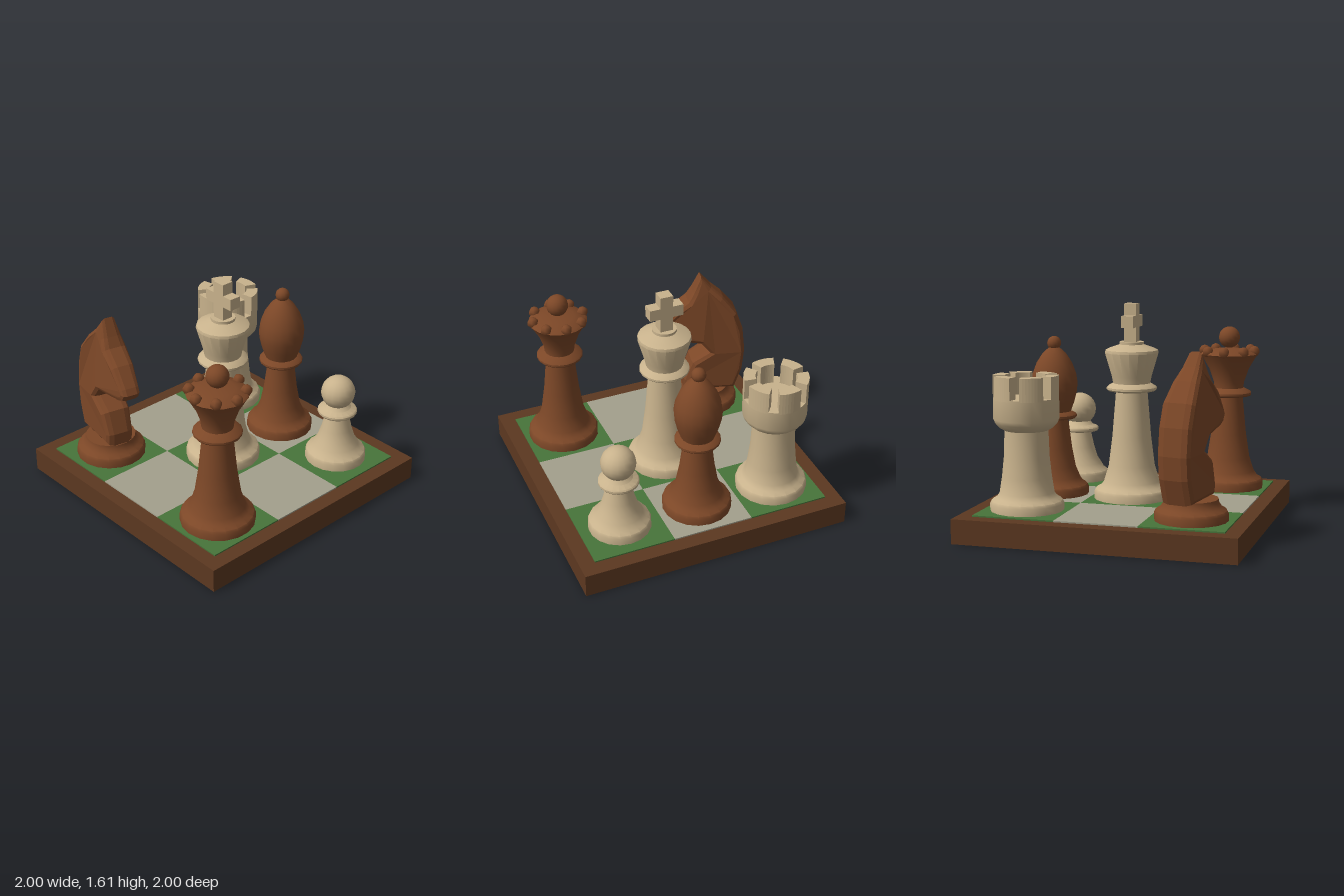
import * as THREE from 'three';
import { toCreasedNormals } from 'three/addons/utils/BufferGeometryUtils.js';

const material = (color, flatShading = false) => new THREE.MeshStandardMaterial({ color, flatShading });
const light = material(0xc8b28c);
const dark = material(0x7c4727);
const darkFlat = material(0x7c4727, true);
const frame = material(0x5c3820);
const green = material(0x47753a);
const pale = material(0xa3a08c);

const FLOOR = 0.185;
const CELL = 0.593;

function add(parent, name, geometry, mat, x = 0, y = 0, z = 0) {
  const mesh = new THREE.Mesh(geometry, mat);
  mesh.name = name;
  mesh.position.set(x, y, z);
  parent.add(mesh);
  return mesh;
}

// Turned part from [radius, height] pairs, listed bottom to top
function turned(points) {
  const profile = points.map(([r, y]) => new THREE.Vector2(r, y));
  return toCreasedNormals(new THREE.LatheGeometry(profile, 18), 0.6);
}

// Stepped foot shared by all pieces
const foot = (r) => [
  [0, FLOOR], [r, FLOOR], [r, 0.235], [r * 0.96, 0.255], [r * 0.83, 0.275], [r * 0.74, 0.31],
];

// Foot, concave stem and thin collar
const stem = (r, neck, collar, y) => [
  ...foot(r),
  [r * 0.61, 0.31 + (y - 0.31) * 0.18],
  [neck + (r * 0.61 - neck) * 0.5, 0.31 + (y - 0.31) * 0.5],
  [neck, y - 0.01], [collar * 0.95, y], [collar, y + 0.01],
  [collar, y + 0.025], [collar * 0.95, y + 0.035],
];

function piece(root, name, col, row) {
  const group = new THREE.Group();
  group.name = name;
  group.position.set(col * CELL, 0, row * CELL);
  root.add(group);
  return group;
}

function buildBoard(root) {
  add(root, 'boardFrame', new THREE.BoxGeometry(2, 0.175, 2), frame, 0, 0.0875, 0);
  for (let i = -1; i <= 1; i++) {
    for (let j = -1; j <= 1; j++) {
      add(root, 'square', new THREE.BoxGeometry(CELL, 0.02, CELL),
        (i + j) % 2 === 0 ? green : pale, i * CELL, 0.175, j * CELL);
    }
  }
}

function buildKing(root) {
  const g = piece(root, 'king', 0, 0);
  add(g, 'kingBody', turned([
    ...stem(0.275, 0.115, 0.182, 0.975), [0.135, 1.03], [0.145, 1.08], [0.195, 1.25],
    [0.19, 1.27], [0.16, 1.285], [0.088, 1.31], [0.088, 1.33], [0, 1.33],
  ]), light);
  add(g, 'crossUpright', new THREE.BoxGeometry(0.095, 0.285, 0.09), light, 0, 1.4625, 0);
  for (const s of [-1, 1]) {
    add(g, 'crossArm', new THREE.BoxGeometry(0.079, 0.085, 0.09), light, s * 0.0865, 1.4775, 0);
  }
}

function buildQueen(root) {
  const g = piece(root, 'queen', 1, 1);
  add(g, 'queenBody', turned([
    ...stem(0.265, 0.105, 0.17, 0.885), [0.11, 0.945], [0.115, 0.99], [0.15, 1.09],
    [0.205, 1.185], [0.215, 1.2], [0.2, 1.215], [0.12, 1.235], [0, 1.25],
  ]), dark);
  add(g, 'queenFinial', new THREE.SphereGeometry(0.08, 16, 12), dark, 0, 1.325, 0);
  for (let i = 0; i < 8; i++) {
    const a = (i / 8) * Math.PI * 2;
    add(g, 'crownBead', new THREE.SphereGeometry(0.042, 6, 5), dark,
      Math.cos(a) * 0.19, 1.222, Math.sin(a) * 0.19);
  }
}

function buildBishop(root) {
  const g = piece(root, 'bishop', 0, -1);
  add(g, 'bishopBody', turned([
    ...stem(0.25, 0.1, 0.163, 0.75), [0.12, 0.8], [0.145, 0.87], [0.165, 0.95], [0.17, 1.01],
    [0.16, 1.08], [0.13, 1.16], [0.085, 1.23], [0.035, 1.275], [0, 1.29],
  ]), dark);
  add(g, 'bishopFinial', new THREE.SphereGeometry(0.052, 12, 10), dark, 0, 1.303, 0);
}

function buildPawn(root) {
  const g = piece(root, 'pawn', 1, -1);
  add(g, 'pawnBody', turned([
    ...stem(0.225, 0.085, 0.145, 0.565), [0.1, 0.615], [0.075, 0.65], [0, 0.66],
  ]), light);
  add(g, 'pawnHead', new THREE.SphereGeometry(0.125, 16, 12), light, 0, 0.735, 0);
}

function buildRook(root) {
  const g = piece(root, 'rook', -1, -1);
  add(g, 'rookBody', turned([
    ...foot(0.26), [0.175, 0.42], [0.16, 0.56], [0.153, 0.75], [0.19, 0.77],
    [0.218, 0.8], [0.23, 0.83], [0.23, 0.98], [0, 0.98],
  ]), light);
  // Battlements
  const half = 0.37;
  const shape = new THREE.Shape();
  shape.absarc(0, 0, 0.23, -half, half, false);
  shape.absarc(0, 0, 0.145, half, -half, true);
  const merlon = new THREE.ExtrudeGeometry(shape, { depth: 0.165, bevelEnabled: false, curveSegments: 4 });
  merlon.rotateX(-Math.PI / 2);
  for (let i = 0; i < 6; i++) {
    add(g, 'merlon', merlon, light, 0, 0.97, 0).rotation.y = Math.PI / 2 + (i * Math.PI) / 3;
  }
}

function buildKnight(root) {
  const g = piece(root, 'knight', -1, 1);
  g.rotation.y = -0.22;
  add(g, 'knightBase', turned([...foot(0.255), [0.185, 0.335], [0, 0.335]]), dark);
  // Horse head outline, counter-clockwise from the ear tip
  const outline = [
    [0.05, 1.326], [-0.03, 1.23], [-0.12, 1.145], [-0.225, 1.01], [-0.28, 0.85], [-0.3, 0.66],
    [-0.285, 0.5], [-0.225, 0.325], [0.175, 0.335], [0.18, 0.43], [0.12, 0.595], [-0.01, 0.675],
    [0.055, 0.755], [0.315, 0.79], [0.37, 0.815], [0.4, 0.865], [0.375, 0.91], [0.27, 1.04],
    [0.15, 1.13], [0.11, 1.2],
  ].map(([x, y]) => new THREE.Vector2(x, y));
  const head = new THREE.ExtrudeGeometry(new THREE.Shape(outline), {
    depth: 0.13, bevelEnabled: true, bevelThickness: 0.055, bevelSize: 0.035,
    bevelOffset: -0.035, bevelSegments: 2,
  });
  head.translate(0, 0, -0.065);
  // Narrow the muzzle and the ears
  const p = head.attributes.position;
  for (let i = 0; i < p.count; i++) {
    const muzzle = 1 - 0.4 * THREE.MathUtils.smoothstep(p.getX(i), 0, 0.4);
    const ear = 1 - 0.55 * THREE.MathUtils.smoothstep(p.getY(i), 1.0, 1.33);
    p.setZ(i, p.getZ(i) * muzzle * ear);
  }
  head.computeVertexNormals();
  add(g, 'knightHead', head, darkFlat);
}

export function createModel() {
  const root = new THREE.Group();
  root.name = 'chessSet';
  buildBoard(root);
  buildKing(root);
  buildQueen(root);
  buildBishop(root);
  buildPawn(root);
  buildRook(root);
  buildKnight(root);
  return root;
}
